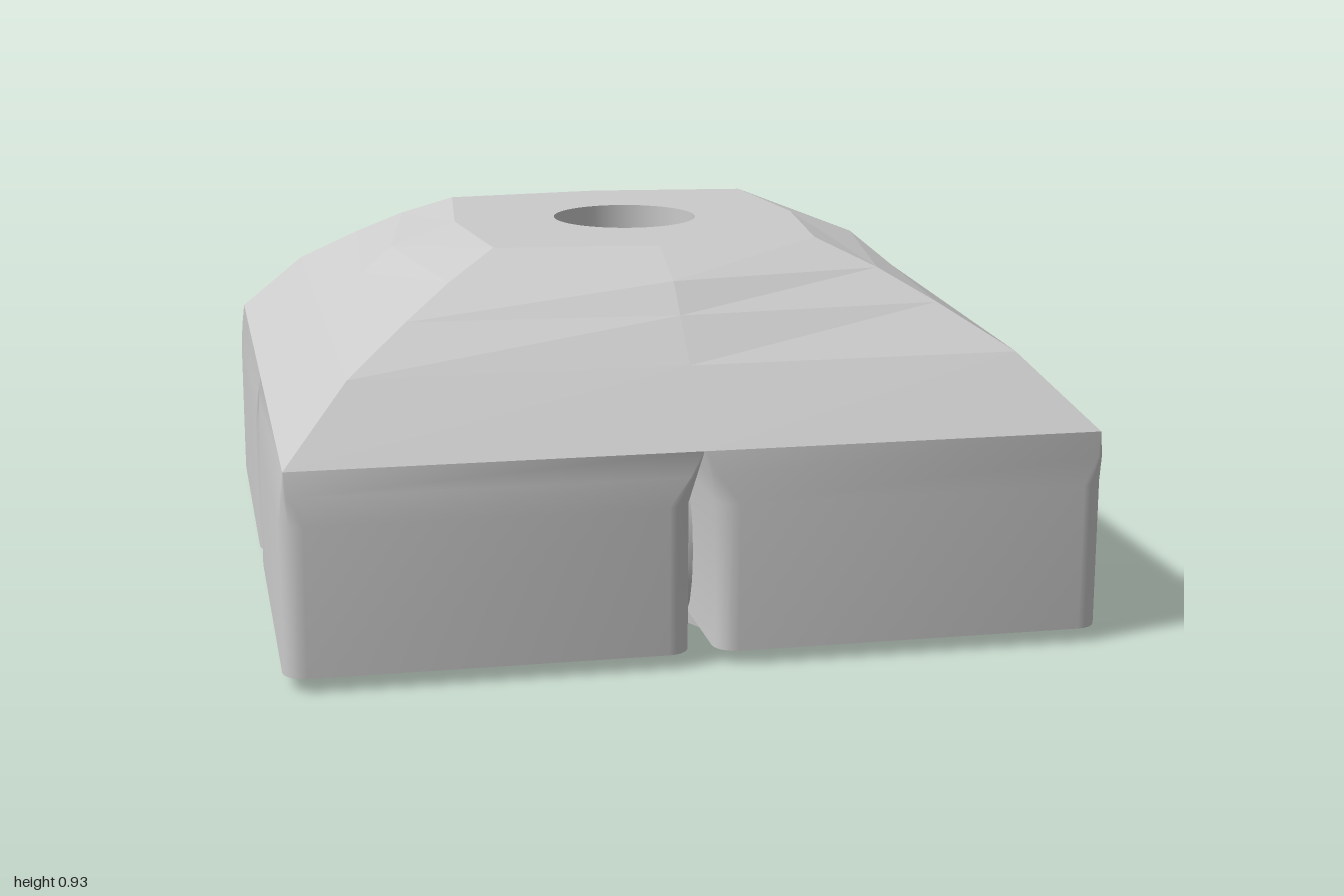
import * as THREE from 'three';
import { toCreasedNormals } from 'three/addons/utils/BufferGeometryUtils.js';

const grey = new THREE.MeshStandardMaterial({ color: 0xcccccc });
const flatGrey = new THREE.MeshStandardMaterial({ color: 0xcccccc, flatShading: true });
const openGrey = new THREE.MeshStandardMaterial({ color: 0xcccccc, side: THREE.DoubleSide });

function addMesh(parent, name, geometry, material, x = 0, y = 0, z = 0) {
  const mesh = new THREE.Mesh(geometry, material);
  mesh.name = name;
  mesh.position.set(x, y, z);
  parent.add(mesh);
  return mesh;
}

// Skin of stacked rings, each { y, points: [[x, z], ...] }, lowest first.
function loft(rings, bottomCentre) {
  const pos = [];
  const n = rings[0].points.length;
  const put = (ring, i) => pos.push(ring.points[i % n][0], ring.y, ring.points[i % n][1]);
  for (let k = 0; k < rings.length - 1; k++) {
    const lo = rings[k], hi = rings[k + 1];
    for (let i = 0; i < n; i++) {
      put(lo, i); put(hi, i); put(lo, i + 1);
      put(lo, i + 1); put(hi, i); put(hi, i + 1);
    }
  }
  if (bottomCentre) {
    for (let i = 0; i < n; i++) {
      pos.push(bottomCentre[0], rings[0].y, bottomCentre[1]);
      put(rings[0], i); put(rings[0], i + 1);
    }
  }
  const g = new THREE.BufferGeometry();
  g.setAttribute('position', new THREE.Float32BufferAttribute(pos, 3));
  g.computeVertexNormals();
  return g;
}

// Quarter block outline: three rounded corners and a hollow around the well.
function blockSection(y, inner, outer, r) {
  const points = [];
  const corners = [[outer - r, inner + r, -1], [outer - r, outer - r, 0], [inner + r, outer - r, 1]];
  for (const [cx, cz, turn] of corners) {
    for (let i = 0; i <= 5; i++) {
      const a = (turn + i / 5) * Math.PI / 2;
      points.push([cx + r * Math.cos(a), cz + r * Math.sin(a)]);
    }
  }
  const well = 0.22, start = Math.asin(inner / well);
  for (let i = 0; i <= 6; i++) {
    const a = Math.PI / 2 - start - (i / 6) * (Math.PI / 2 - 2 * start);
    points.push([well * Math.cos(a), well * Math.sin(a)]);
  }
  return { y, points };
}

// Eight-point roof ring: corners at one distance, side middles at another.
function roofRing(y, corner, middle) {
  const points = [];
  for (let i = 0; i < 8; i++) {
    const a = i * Math.PI / 4;
    const d = i % 2 ? corner * Math.SQRT2 : middle;
    points.push([d * Math.cos(a), d * Math.sin(a)]);
  }
  return { y, points };
}

export function createModel() {
  const model = new THREE.Group();
  model.name = 'pavilionBlock';

  // Four quarter blocks, separated by slots that close to a point at the eaves
  const block = toCreasedNormals(loft([
    blockSection(0.035, 0.03, 0.998, 0.055),
    blockSection(0.40, 0.03, 0.998, 0.055),
    blockSection(0.47, 0.016, 0.993, 0.02),
    blockSection(0.53, 0, 0.985, 0.0005),
  ], [0.55, 0.55]), 0.6);
  for (let i = 0; i < 4; i++) {
    addMesh(model, 'quarterBlock' + (i + 1), block, grey).rotation.y = i * Math.PI / 2;
  }

  // Faceted roof, steep at the eaves and shallow at the top
  const top = roofRing(0.93, 0.415, 0.46);
  addMesh(model, 'roofSlopes', loft([
    roofRing(0.53, 0.985, 0.985),
    roofRing(0.70, 0.82, 0.82),
    roofRing(0.80, 0.665, 0.71),
    roofRing(0.87, 0.545, 0.63),
    top,
  ]), flatGrey);

  // Flat roof top with a round opening
  const shape = new THREE.Shape(top.points.map(([x, z]) => new THREE.Vector2(x, z)));
  shape.holes.push(new THREE.Path().absarc(0, 0, 0.19, 0, Math.PI * 2, true));
  const topGeometry = new THREE.ShapeGeometry(shape, 24);
  topGeometry.rotateX(-Math.PI / 2);
  addMesh(model, 'roofTop', topGeometry, grey, 0, 0.93, 0);

  // Deep round well below the opening, standing on the central core
  const wall = new THREE.CylinderGeometry(0.19, 0.19, 0.64, 48, 1, true);
  addMesh(model, 'wellWall', wall, openGrey, 0, 0.61, 0);
  addMesh(model, 'core', new THREE.BoxGeometry(0.56, 0.25, 0.56), grey, 0, 0.161, 0);

  // Small faceted figure lodged in the front slot, showing beneath the blocks
  const figure = new THREE.Group();
  figure.name = 'lodgedFigure';
  figure.position.z = 0.63;
  model.add(figure);
  const body = addMesh(figure, 'figureBody', new THREE.SphereGeometry(1, 12, 8), grey, 0, 0.2, 0);
  body.scale.set(0.14, 0.185, 0.11);
  const feet = [['leftFoot', 0.15, 0.01, 0.15, 0.125], ['rightFoot', -0.2, 0, 0.1, 0.085]];
  for (const [name, x, z, sx, sz] of feet) {
    const foot = addMesh(figure, name, new THREE.CylinderGeometry(1, 0.88, 0.12, 8), flatGrey, x, 0.06, z);
    foot.scale.set(sx, 1, sz);
  }
  const tail = addMesh(figure, 'figureTail', new THREE.IcosahedronGeometry(1, 1), flatGrey, -0.06, 0.08, -0.08);
  tail.scale.set(0.09, 0.07, 0.08);

  return model;
}
